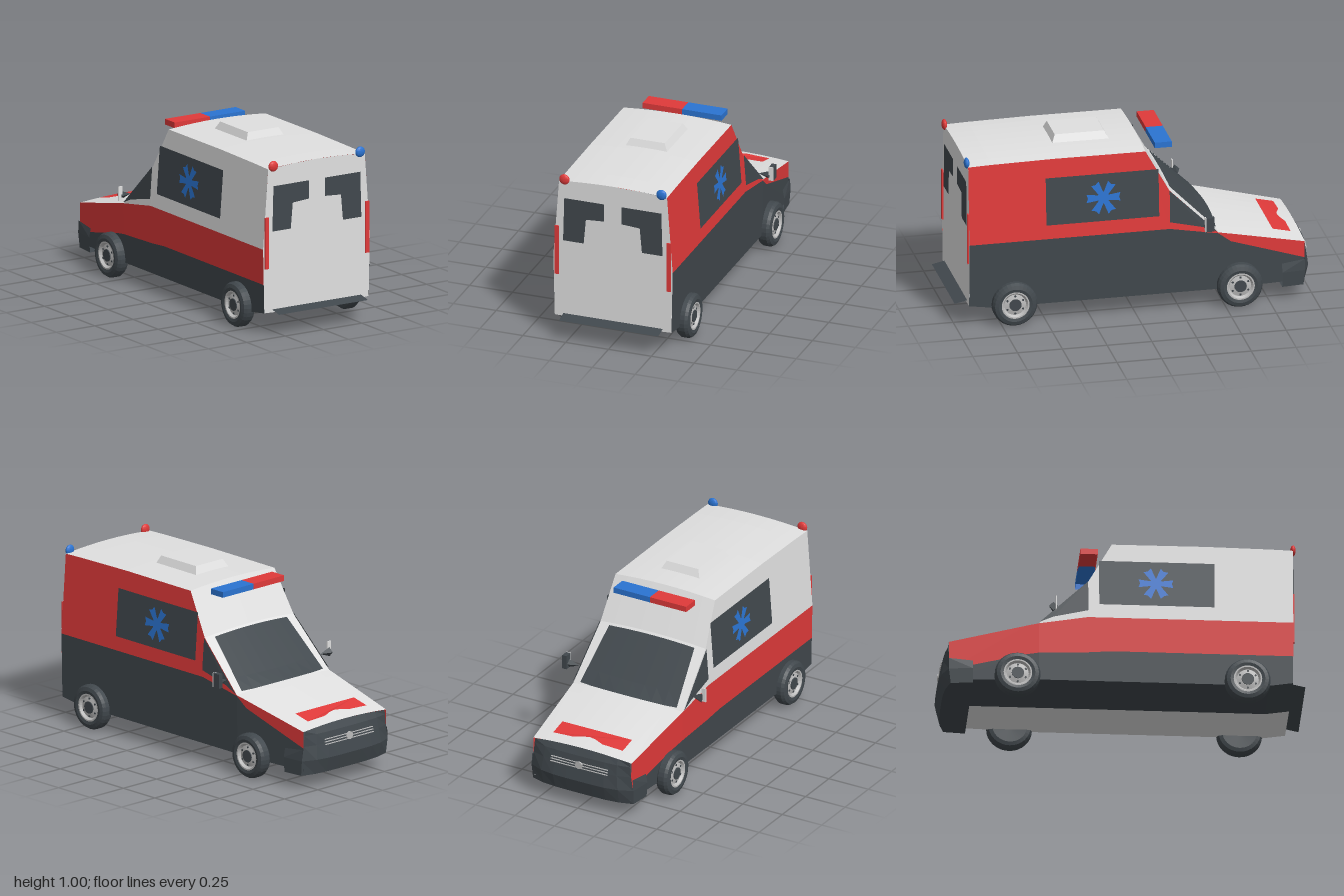
import * as THREE from 'three';

const paint = (name, color) => {
  const m = new THREE.MeshStandardMaterial({ color, side: THREE.DoubleSide, flatShading: true });
  m.name = name;
  return m;
};

// Body stations from tail (+z) to nose (-z)
const Z = [0.93, 0.8, 0.45, -0.06, -0.19, -0.46, -0.53, -0.95];
const TOP = [0.938, 0.942, 0.947, 0.945, 0.71, 0.445, 0.43, 0.335];
const BELT = [0.49, 0.49, 0.49, 0.49, 0.49, 0.44, 0.385, 0.24];
const STRIPE_TOP = [0.49, 0.49, 0.49, 0.49, 0.49, 0.445, 0.43, 0.335];
const STRIPE_LOW = [0.29, 0.29, 0.29, 0.29, 0.28, 0.27, 0.26, 0.17];
const SILL = [0.13, 0.11, 0.11, 0.11, 0.11, 0.11, 0.11, 0.11];

const at = (list, z) => {
  let i = 0;
  while (i < Z.length - 2 && z < Z[i + 1]) i++;
  return THREE.MathUtils.lerp(list[i], list[i + 1], (Z[i] - z) / (Z[i] - Z[i + 1]));
};
// Half width of the body at a height and station
const halfWidth = (y, z) => {
  const w = y < 0.5 ? 0.338 + 0.02 * y : 0.348 - 0.075 * (y - 0.5);
  return w * (1 - 0.1 * Math.max(0, (-0.46 - z) / 0.49));
};
const topY = (x, z) => {
  const y = at(TOP, z);
  return y + 0.015 * (1 - (x / halfWidth(y, z)) ** 2);
};

export function createModel() {
  const white = paint('white paint', 0xe0e0e0);
  const red = paint('red paint', 0xe03a3a);
  const dark = paint('dark grey', 0x41484d);
  const blue = paint('blue', 0x2b74d2);
  const silver = paint('wheel silver', 0xbdbdbd);
  const model = new THREE.Group();
  model.name = 'ambulance';

  const add = (name, geometry, material, x = 0, y = 0, z = 0, parent = model) => {
    const mesh = new THREE.Mesh(geometry, material);
    mesh.name = name;
    mesh.position.set(x, y, z);
    parent.add(mesh);
    return mesh;
  };
  // Surface through rows of points
  const sheet = (name, rows, material) => {
    const n = rows[0].length, index = [];
    for (let r = 0; r < rows.length - 1; r++)
      for (let c = 0; c < n - 1; c++) {
        const a = r * n + c;
        index.push(a, a + n, a + 1, a + 1, a + n, a + n + 1);
      }
    const g = new THREE.BufferGeometry();
    g.setAttribute('position', new THREE.Float32BufferAttribute(rows.flat(2), 3));
    g.setIndex(index);
    g.computeVertexNormals();
    return add(name, g, material);
  };
  // Flat outline laid on a surface by a mapping rule
  const decal = (name, points, map, material) => {
    const g = new THREE.ShapeGeometry(new THREE.Shape(points.map(p => new THREE.Vector2(...p))));
    const p = g.attributes.position;
    for (let i = 0; i < p.count; i++) p.setXYZ(i, ...map(p.getX(i), p.getY(i)));
    g.computeVertexNormals();
    return add(name, g, material);
  };
  const onSide = (s, off) => (z, y) => [s * (halfWidth(y, z) + off), y, z];
  const onTail = off => (x, y) => [x, y, 0.93 + off];

  // Side panels
  const panel = (name, s, low, high, material) => sheet(name,
    [low, high].map(l => Z.map((z, i) => [s * halfWidth(l[i], z), l[i], z])), material);
  panel('rightUpperSide', 1, BELT, TOP, red);
  panel('rightLowerSide', 1, SILL, BELT, dark);
  panel('leftUpperSide', -1, STRIPE_TOP, TOP, white);
  panel('leftStripe', -1, STRIPE_LOW, STRIPE_TOP, red);
  panel('leftLowerSide', -1, SILL, STRIPE_LOW, dark);

  // Roof, windscreen frame and bonnet
  const across = [-1, -0.75, -0.5, -0.25, 0, 0.25, 0.5, 0.75, 1];
  sheet('roofAndBonnet', Z.map((z, i) => across.map(f => {
    const x = f * halfWidth(TOP[i], z);
    return [x, topY(x, z), z];
  })), white);

  // Shallow V floor
  for (const [s, m] of [[1, white], [-1, dark]])
    sheet('floor', Z.map((z, i) => [[0, SILL[i] - 0.012, z], [s * halfWidth(SILL[i], z), SILL[i], z]]), m);

  // Tail wall, rear windows, tail lamps and step
  decal('tailWall', [[0, 0.118], [0.34, 0.13], [0.348, 0.49], [0.315, 0.938], [0.16, 0.949], [0, 0.953],
    [-0.16, 0.949], [-0.315, 0.938], [-0.348, 0.49], [-0.34, 0.13]], onTail(0), white);
  for (const s of [1, -1]) {
    decal('rearWindow', [[0.052, 0.84], [0.283, 0.84], [0.29, 0.585], [0.17, 0.585], [0.157, 0.73], [0.052, 0.737]]
      .map(([x, y]) => [s * x, y]), onTail(0.004), dark);
    add('tailLamp', new THREE.BoxGeometry(0.024, 0.29, 0.008), red, s * 0.327, 0.523, 0.934);
    const beacon = add('rearBeacon', new THREE.SphereGeometry(0.03, 16, 10), s > 0 ? blue : red, s * 0.283, 0.952, 0.932);
    beacon.scale.z = 0.5;
  }
  sheet('rearStep', [[[-0.29, 0.145, 0.93], [0.29, 0.145, 0.93]], [[-0.29, 0.13, 1], [0.29, 0.13, 1]]], dark);

  // Windscreen
  sheet('windscreen', [0, 0.25, 0.5, 0.75, 1].map(t => across.map(f => {
    const x = f * (0.27 + 0.035 * t);
    const z = -0.205 - t * (0.25 + 0.02 * (1 - f * f));
    return [x, topY(x, z) + 0.006, z];
  })), dark);

  // Side glass and six-armed emblem
  const star = [];
  for (let k = 0; k < 6; k++)
    for (const [r, w] of [[0.03, -0.015], [0.095, -0.024], [0.087, 0], [0.095, 0.024], [0.03, 0.015]]) {
      const a = k * Math.PI / 3;
      star.push([0.18 + r * Math.cos(a) - w * Math.sin(a), 0.705 + r * Math.sin(a) + w * Math.cos(a)]);
    }
  for (const s of [1, -1]) {
    decal('sideWindow', [[0.5, 0.57], [-0.13, 0.57], [-0.13, 0.84], [0.5, 0.84]], onSide(s, 0.004), dark);
    decal('sideEmblem', star, onSide(s, 0.008), blue);
    decal('cabWindow', [[-0.19, 0.53], [-0.38, 0.485], [-0.455, 0.452], [-0.19, 0.71]], onSide(s, 0.005), dark);
  }

  // Bonnet patch
  decal('bonnetPatch', [[-0.22, 0.79], [0.22, 0.79], [0.22, 0.89], [0.09, 0.89], [0.04, 0.87], [0, 0.862],
    [-0.04, 0.87], [-0.09, 0.89], [-0.22, 0.89]], (x, d) => [x, topY(x, -d) + 0.008, -d], red);

  // Nose and wrap-round bumper: [height, half width, edge z, centre z]
  const nose = ([y, w, ze, zc], crown = 0) => across.map(f =>
    [f * w, y + crown * (1 - f * f), ze + (zc - ze) * (1 - f ** 4)]);
  sheet('nose', [nose([0.335, 0.298, -0.95, -0.95], 0.015), nose([0.31, 0.302, -0.95, -0.972]),
    nose([0.25, 0.308, -0.95, -0.985]), nose([0.17, 0.322, -0.95, -1]), nose([0.085, 0.318, -0.94, -0.975]),
    nose([0.085, 0.33, -0.82, -0.82])], dark);
  for (const s of [1, -1])
    sheet('bumperCorner', [
      [[s * 0.325, 0.22, -0.82], [s * 0.318, 0.235, -0.95]],
      [[s * 0.335, 0.17, -0.82], [s * 0.322, 0.17, -0.95]],
      [[s * 0.33, 0.085, -0.82], [s * 0.318, 0.085, -0.94]]], dark);

  // Grille bars and plain disc
  for (let i = 0; i < 3; i++)
    add('grilleBar', new THREE.BoxGeometry(0.36, 0.004, 0.006), silver, 0, 0.245 + i * 0.014, -0.987 + i * 0.003);
  const disc = add('grilleDisc', new THREE.CylinderGeometry(0.022, 0.022, 0.008, 20), silver, 0, 0.262, -0.988);
  disc.rotation.x = Math.PI / 2;

  // Roof vent
  const ventRing = (w, y, z0, z1) => [[-w, y, z0], [w, y, z0], [w, y, z1], [-w, y, z1], [-w, y, z0]];
  sheet('roofVent', [ventRing(0.122, 0.955, 0.42, 0.1), ventRing(0.1, 1, 0.4, 0.125)], white);
  sheet('roofVentLid', [[[-0.1, 1, 0.4], [0.1, 1, 0.4]], [[-0.1, 1, 0.125], [0.1, 1, 0.125]]], white);

  // Light bar, open underneath
  for (const s of [1, -1]) {
    const g = new THREE.BoxGeometry(0.23, 0.032, 0.095);
    const index = [...g.index.array];
    g.setIndex(index.filter((_, i) => (i < 18 || i >= 24) && !(s > 0 ? i >= 6 && i < 12 : i < 6)));
    g.clearGroups();
    add('lightBar', g, s > 0 ? blue : red, s * 0.115, 0.94, -0.178);
  }

  // Door mirrors
  for (const s of [1, -1]) {
    const arm = add('mirrorArm', new THREE.ConeGeometry(0.026, 0.07, 4), dark, s * 0.385, 0.517, -0.385);
    arm.rotation.z = s * Math.PI / 2;
    if (s > 0) add('mirrorHousing', new THREE.BoxGeometry(0.026, 0.08, 0.045), dark, s * 0.428, 0.532, -0.396);
    add('mirrorGlass', new THREE.BoxGeometry(0.026, 0.08, 0.006), white, s * 0.428, 0.532, -0.371);
  }

  // Wheels
  const tyre = new THREE.LatheGeometry([[0.078, 0.036], [0.095, 0.04], [0.115, 0.034], [0.125, 0.018], [0.125, -0.018],
    [0.115, -0.034], [0.095, -0.04], [0, -0.036]].map(p => new THREE.Vector2(...p)), 32);
  const rim = new THREE.LatheGeometry([[0.08, 0.036], [0.07, 0.036], [0.06, 0.022], [0.035, 0.028], [0, 0.028]]
    .map(p => new THREE.Vector2(...p)), 32);
  const hub = new THREE.CylinderGeometry(0.034, 0.034, 0.008, 20);
  const bolt = new THREE.CylinderGeometry(0.006, 0.006, 0.006, 8);
  for (const s of [1, -1])
    for (const z of [0.68, -0.577]) {
      const wheel = new THREE.Group();
      wheel.name = z > 0 ? 'rearWheel' : 'frontWheel';
      wheel.position.set(s * 0.349, 0.13, z);
      wheel.rotation.z = -s * Math.PI / 2;
      add('tyre', tyre, dark, 0, 0, 0, wheel);
      add('rim', rim, silver, 0, 0, 0, wheel);
      add('hub', hub, dark, 0, 0.029, 0, wheel);
      for (let k = 0; k < 6; k++)
        add('bolt', bolt, dark, 0.05 * Math.cos(k * Math.PI / 3), 0.025, 0.05 * Math.sin(k * Math.PI / 3), wheel);
      model.add(wheel);
    }
  return model;
}
